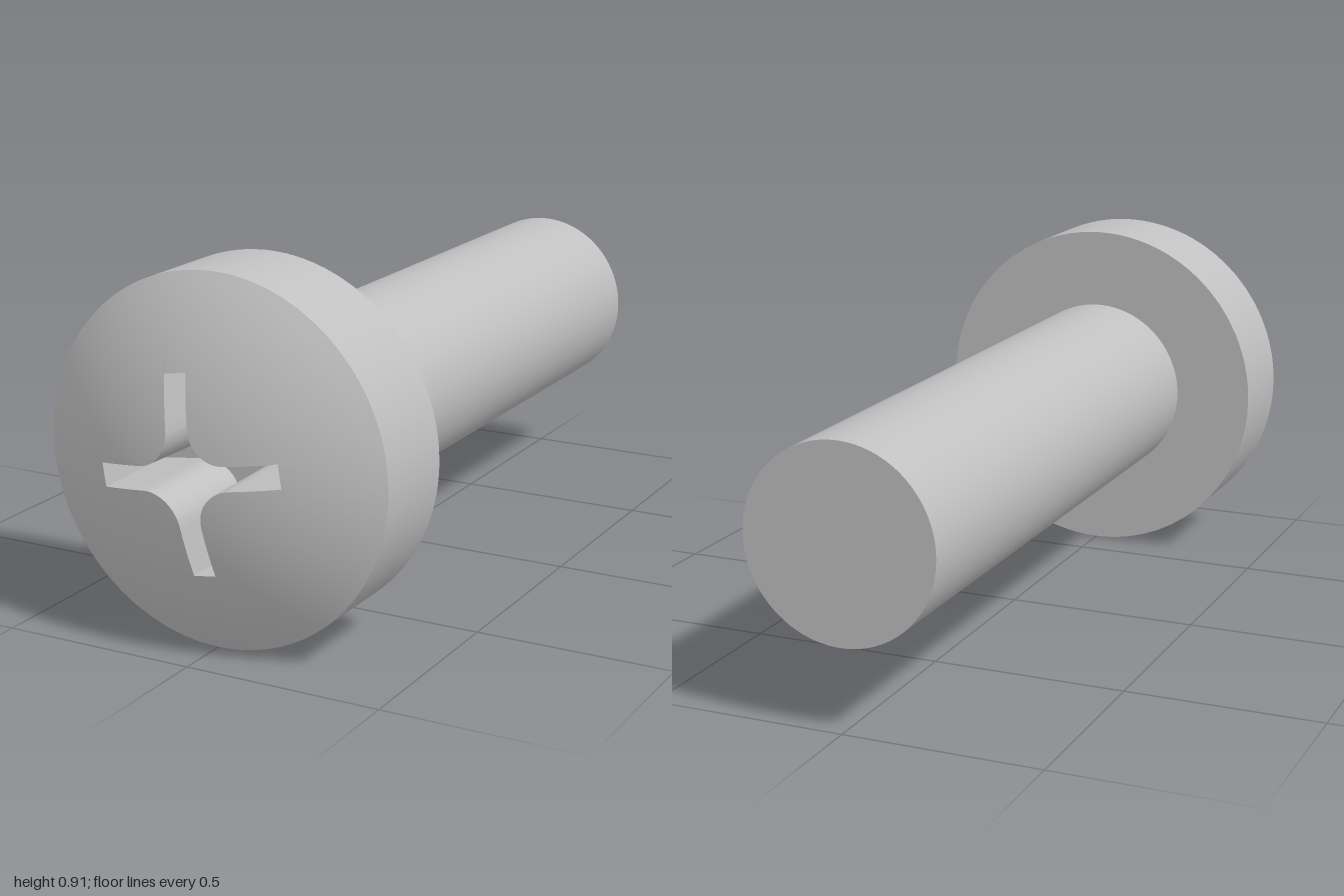
import * as THREE from 'three';
import { toCreasedNormals } from 'three/addons/utils/BufferGeometryUtils.js';

const HEAD_R = 0.453, SHANK_R = 0.243;
const Z_UNDER = 0.615, Z_RIM = 0.865, Z_APEX = 1.003, Z_FLOOR = 0.74, Z_END = -1;
const rise = Z_APEX - Z_RIM;
const DOME_R = (HEAD_R ** 2 + rise ** 2) / (2 * rise);
const domeZ = (x, y) => Z_APEX - DOME_R + Math.sqrt(DOME_R ** 2 - x * x - y * y);

// Cross outline with filleted inner corners, counter-clockwise seen from the front
function crossOutline(inset) {
  const w = 0.029 - inset, len = 0.238 - inset, c = 0.115;
  const points = [];
  for (let k = 0; k < 4; k++) {
    const turn = THREE.MathUtils.degToRad(8 + 90 * k);
    const add = (u, v) => points.push(new THREE.Vector2(u, v).rotateAround(new THREE.Vector2(), turn));
    for (let i = 0; i < 4; i++) add(len, -w + (2 * w * i) / 4);
    for (let i = 0; i < 4; i++) add(len + ((c - len) * i) / 4, w);
    for (let i = 0; i < 16; i++) {
      const a = -Math.PI / 2 - ((Math.PI / 2) * i) / 16;
      add(c + (c - w) * Math.cos(a), c + (c - w) * Math.sin(a));
    }
    for (let i = 0; i < 4; i++) add(w, c + ((len - c) * i) / 4);
  }
  return points;
}

// Skin a list of equal-length loops and close the last one with a fan
function loft(loops, centre) {
  const pos = [];
  const tri = (...corners) => corners.forEach((p) => pos.push(p.x, p.y, p.z));
  const n = loops[0].length;
  for (let i = 0; i < n; i++) {
    const j = (i + 1) % n;
    for (let k = 0; k < loops.length - 1; k++) {
      const a = loops[k], b = loops[k + 1];
      tri(a[i], a[j], b[j]);
      tri(a[i], b[j], b[i]);
    }
    const last = loops[loops.length - 1];
    tri(last[i], last[j], centre);
  }
  const geometry = new THREE.BufferGeometry();
  geometry.setAttribute('position', new THREE.Float32BufferAttribute(pos, 3));
  return toCreasedNormals(geometry, 0.4);
}

export function createModel() {
  const steel = new THREE.MeshStandardMaterial({ color: 0xc0c0c0 });
  steel.name = 'steel grey';
  const model = new THREE.Group();
  model.name = 'screw';

  // Head: underside, straight rim, domed face, then down into the cross recess
  const opening = crossOutline(0);
  const circle = (r, z) => opening.map((p) => {
    const a = p.angle();
    return new THREE.Vector3(r * Math.cos(a), r * Math.sin(a), z);
  });
  const loops = [circle(SHANK_R - 0.01, Z_UNDER), circle(HEAD_R, Z_UNDER), circle(HEAD_R, Z_RIM)];
  const rings = 14;
  for (let k = 1; k <= rings; k++) {
    loops.push(opening.map((p) => {
      const q = p.clone().setLength(THREE.MathUtils.lerp(HEAD_R, p.length(), k / rings));
      return new THREE.Vector3(q.x, q.y, domeZ(q.x, q.y));
    }));
  }
  loops.push(crossOutline(0.006).map((p) => new THREE.Vector3(p.x, p.y, Z_FLOOR)));
  const head = new THREE.Mesh(loft(loops, new THREE.Vector3(0, 0, Z_FLOOR)), steel);
  head.name = 'head';
  head.position.y = HEAD_R;
  model.add(head);

  // Plain cylindrical shank, running back from the head
  const shankLength = Z_UNDER + 0.01 - Z_END;
  const shank = new THREE.Mesh(new THREE.CylinderGeometry(SHANK_R, SHANK_R, shankLength, 96), steel);
  shank.name = 'shank';
  shank.rotation.x = Math.PI / 2;
  shank.position.set(0, HEAD_R, Z_END + shankLength / 2);
  model.add(shank);

  return model;
}
